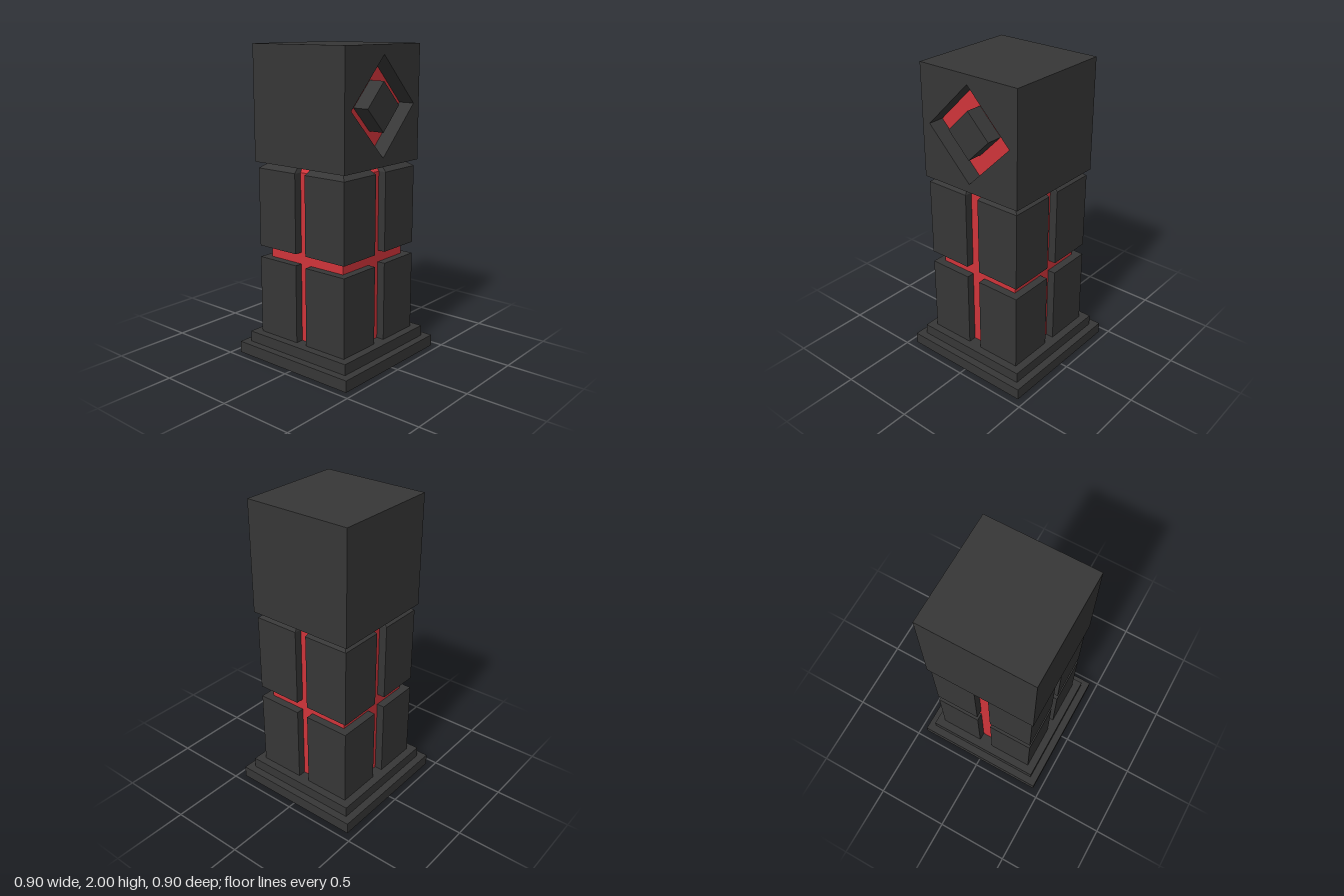
import * as THREE from 'three';

const dark = new THREE.MeshStandardMaterial({ color: 0x373737 });
const red = new THREE.MeshStandardMaterial({ color: 0xd0343a });

const HEAD = 0.3625;      // half width of the head
const GROOVE = 0.11;      // depth of the diamond groove
const DIAMOND_Y = 1.635;

function add(parent, name, geometry, material, x = 0, y = 0, z = 0) {
  const mesh = new THREE.Mesh(geometry, material);
  mesh.name = name;
  mesh.position.set(x, y, z);
  parent.add(mesh);
  return mesh;
}

// Box between two heights, centred on x = z = 0
function slab(parent, name, width, y0, y1, material) {
  return add(parent, name, new THREE.BoxGeometry(width, y1 - y0, width), material, 0, (y0 + y1) / 2, 0);
}

// Upright block whose faces slope from the shoulder height to a smaller top.
// low and top are [x0, x1, z0, z1]
function shoulderedBlock(low, top, y0, shoulder, y1) {
  const box = new THREE.BoxGeometry(1, 2, 1, 1, 2, 1);
  const p = box.attributes.position;
  for (let i = 0; i < p.count; i++) {
    const level = Math.round(p.getY(i)) + 1;
    const r = level === 2 ? top : low;
    p.setXYZ(i, p.getX(i) < 0 ? r[0] : r[1], [y0, shoulder, y1][level], p.getZ(i) < 0 ? r[2] : r[3]);
  }
  const flat = box.toNonIndexed();
  flat.computeVertexNormals();
  return flat;
}

function diamond(r, Type = THREE.Shape) {
  const s = new Type();
  s.moveTo(r, 0);
  s.lineTo(0, r);
  s.lineTo(-r, 0);
  s.lineTo(0, -r);
  s.closePath();
  return s;
}

export function createModel() {
  const model = new THREE.Group();
  model.name = 'pillar';

  // Stepped base
  slab(model, 'lowerStep', 0.9, 0, 0.075, dark);
  slab(model, 'upperStep', 0.8, 0.075, 0.145, dark);

  // Red core seen through the gaps
  add(model, 'core', shoulderedBlock(
    [-0.295, 0.295, -0.295, 0.295], [-0.25, 0.25, -0.25, 0.25], 0.145, 1.235, 1.275), red);

  // Four corner blocks on each of two tiers, the upper tier with sloped shoulders
  for (const sx of [-1, 1]) {
    for (const sz of [-1, 1]) {
      const corner = (xi, zi, out) => [
        Math.min(sx * xi, sx * out), Math.max(sx * xi, sx * out),
        Math.min(sz * zi, sz * out), Math.max(sz * zi, sz * out)];
      const low = corner(0.048, 0.04, 0.347);
      const top = corner(0.073, 0.058, 0.294);
      add(model, 'lowerCornerBlock', shoulderedBlock(low, low, 0.145, 0.4, 0.655), dark);
      add(model, 'upperCornerBlock', shoulderedBlock(low, top, 0.73, 1.235, 1.275), dark);
    }
  }

  // Head: solid rear and a front plate with a diamond opening
  const head = new THREE.Group();
  head.name = 'head';
  model.add(head);
  const rear = 2 * HEAD - GROOVE;
  add(head, 'headRear', new THREE.BoxGeometry(2 * HEAD, 2 * HEAD, rear), dark, 0, 2 - HEAD, -GROOVE / 2);

  const plate = new THREE.Shape();
  const low = 2 - 2 * HEAD - DIAMOND_Y, high = 2 - DIAMOND_Y;
  plate.moveTo(-HEAD, low);
  plate.lineTo(HEAD, low);
  plate.lineTo(HEAD, high);
  plate.lineTo(-HEAD, high);
  plate.closePath();
  plate.holes.push(diamond(0.306, THREE.Path));
  const extrude = { depth: GROOVE, bevelEnabled: false };
  const floorZ = HEAD - GROOVE;
  add(head, 'headFront', new THREE.ExtrudeGeometry(plate, extrude), dark, 0, DIAMOND_Y, floorZ);

  // Red groove floor around a dark centre flush with the front
  const ring = diamond(0.306);
  ring.holes.push(diamond(0.153, THREE.Path));
  add(head, 'diamondGrooveFloor', new THREE.ShapeGeometry(ring), red, 0, DIAMOND_Y, floorZ + 0.003);
  add(head, 'diamondCentre', new THREE.ExtrudeGeometry(diamond(0.153), extrude), dark, 0, DIAMOND_Y, floorZ);

  return model;
}
